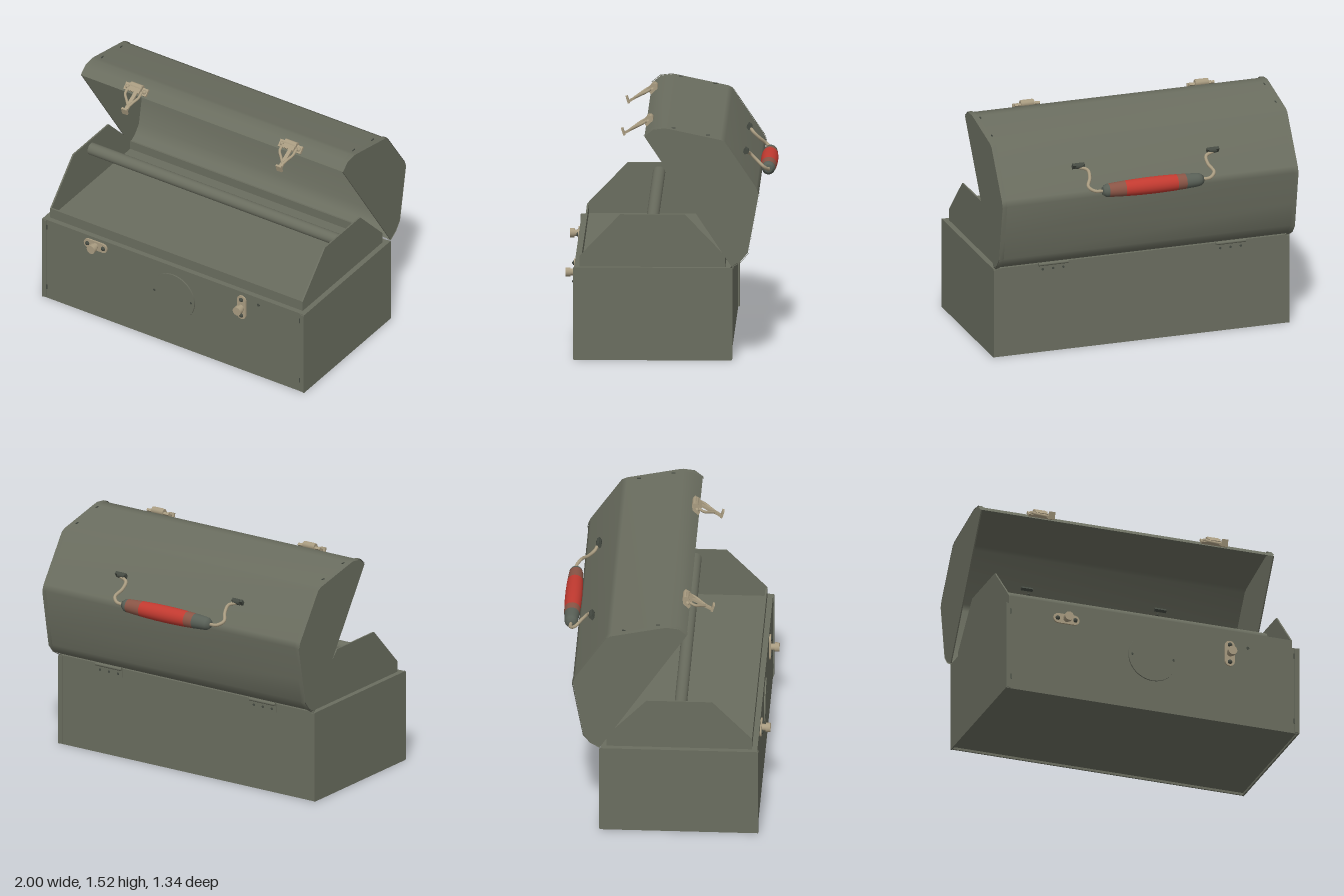
import * as THREE from 'three';

const material = (name, color, side = THREE.FrontSide) => {
  const m = new THREE.MeshStandardMaterial({ color, side });
  m.name = name;
  return m;
};

export function createModel() {
  const root = new THREE.Group();
  root.name = 'toolbox';
  const paint = material('olive grey paint', 0x6a6d5f, THREE.DoubleSide);
  const brass = material('dull brass', 0xa89b80);
  const dark = material('dark steel', 0x454a42);
  const grip = material('worn grip', 0x596057);
  const red = material('red grip paint', 0xc23a30);
  const brown = material('faded red paint', 0x8a5546);

  const add = (name, geo, mat, pos = [0, 0, 0], rot = [0, 0, 0], parent = root) => {
    const mesh = new THREE.Mesh(geo, mat);
    mesh.name = name;
    mesh.position.set(...pos);
    mesh.rotation.set(...rot);
    parent.add(mesh);
    return mesh;
  };
  const box = (name, size, pos, mat = paint, rot, parent) =>
    add(name, new THREE.BoxGeometry(...size), mat, pos, rot, parent);
  const disc = (name, r, h, pos, mat, parent) =>
    add(name, new THREE.CylinderGeometry(r, r, h, 20), mat, pos, [Math.PI / 2, 0, 0], parent);
  const tube = (name, pts, r, mat, parent) => add(name, new THREE.TubeGeometry(
    new THREE.CatmullRomCurve3(pts.map(p => new THREE.Vector3(...p))), 28, r, 8), mat, undefined, undefined, parent);

  // Upright plate from a (z, y) outline, running from x0 - t to x0
  const sidePlate = (name, outline, x0, t) => {
    const shape = new THREE.Shape(outline.map(p => new THREE.Vector2(...p)));
    const geo = new THREE.ExtrudeGeometry(shape, { depth: t, bevelEnabled: false });
    add(name, geo.rotateY(-Math.PI / 2).translate(x0, 0, 0), paint);
  };
  // Smooth sheet that sweeps a (z, y) line along x
  const sheet = (name, line, xa, xb) => {
    const pos = [], idx = [];
    line.forEach(([z, y], i) => {
      pos.push(xa, y, z, xb, y, z);
      const a = i * 2;
      if (i) idx.push(a - 2, a, a - 1, a - 1, a, a + 1);
    });
    const geo = new THREE.BufferGeometry();
    geo.setAttribute('position', new THREE.Float32BufferAttribute(pos, 3));
    geo.setIndex(idx);
    geo.computeVertexNormals();
    add(name, geo, paint);
  };

  // Lower box with wrapped ends and a bottom rim
  box('body', [1.99, 0.585, 1.0], [0, 0.3075, 0.105]);
  for (const s of [-1, 1]) {
    box('bodyEnd', [0.01, 0.6, 1.01], [s * 0.995, 0.3, 0.105]);
    box('frontEndFlange', [0.03, 0.59, 0.008], [s * 0.985, 0.3, 0.608]);
    box('backEndFlange', [0.03, 0.59, 0.006], [s * 0.985, 0.3, -0.402]);
    for (const y of [0.085, 0.545]) box('flangeSlot', [0.006, 0.035, 0.004], [s * 0.966, y, 0.607], dark);
  }
  for (const z of [0.6, -0.39]) box('bottomRim', [1.99, 0.016, 0.01], [0, 0.008, z]);

  // Tray with gabled ends and a carrying bar
  const gable = [[-0.36, 0.6], [0.57, 0.6], [0.57, 0.67], [0.31, 0.94], [-0.1, 0.94], [-0.36, 0.67]];
  sidePlate('trayEnd', gable, 0.965, 0.01);
  sidePlate('trayEnd', gable, -0.955, 0.01);
  box('trayFront', [1.92, 0.07, 0.012], [0, 0.635, 0.564]);
  box('trayBack', [1.92, 0.07, 0.012], [0, 0.635, -0.354]);
  box('trayFloor', [1.92, 0.008, 0.92], [0, 0.606, 0.105]);
  add('trayBar', new THREE.CylinderGeometry(0.04, 0.04, 1.92, 24), paint, [0, 0.875, 0.11], [0, 0, Math.PI / 2]);

  // Open lid: curved shell, end plates and end flanges
  const lid = [[-0.4, 0.61], [-0.46, 0.645], [-0.505, 0.7], [-0.535, 0.86], [-0.575, 1.08], [-0.56, 1.12],
    [-0.36, 1.415], [-0.33, 1.43], [0.0, 1.5], [0.03, 1.504], [0.1, 1.495], [0.155, 1.45]];
  sheet('lidShell', lid, -0.995, 0.995);
  sidePlate('lidEnd', lid, 1, 0.008);
  sidePlate('lidEnd', lid, -0.992, 0.008);
  const wrap = lid.map(([z, y]) => [-0.2 + (z + 0.2) * 1.014, 1.1 + (y - 1.1) * 1.014]);
  for (const s of [-1, 1]) {
    sheet('lidEndFlange', wrap, s * 0.97, s);
    for (const [y, z] of [[1.474, -0.25], [1.52, -0.03]]) box('lidSlot', [0.005, 0.006, 0.025], [s * 0.96, y - 0.02, z], dark);
    for (const y of [1.22, 1.27]) add('lidRivet', new THREE.SphereGeometry(0.008, 8, 6), dark, [s * 0.44, y, -0.475]);
  }

  // Hinges
  for (const s of [-1, 1]) {
    add('hingeBarrel', new THREE.CylinderGeometry(0.011, 0.011, 0.2, 10), paint, [s * 0.6, 0.6, -0.41], [0, 0, Math.PI / 2]);
    box('hingeLeaf', [0.2, 0.05, 0.006], [s * 0.6, 0.57, -0.403]);
    for (const dx of [-0.07, 0, 0.07]) disc('hingeRivet', 0.008, 0.004, [s * 0.6 + dx, 0.565, -0.407], dark);
  }

  // Handle: barrel grip in painted bands
  const gripRadius = x => {
    const t = Math.abs(x) / 0.34;
    return t > 0.94 ? 0.04 - (t - 0.94) * 0.25 : 0.055 - 0.015 * t * t;
  };
  const bands = [[-0.34, -0.22, grip], [-0.22, -0.16, brown], [-0.16, 0.19, red], [0.19, 0.3, brown], [0.3, 0.34, grip]];
  for (const [a, b, mat] of bands) {
    const profile = [];
    if (a === -0.34) profile.push(new THREE.Vector2(0, a));
    for (let i = 0; i <= 6; i++) {
      const x = a + (b - a) * i / 6;
      profile.push(new THREE.Vector2(gripRadius(x), x));
    }
    if (b === 0.34) profile.push(new THREE.Vector2(0, b));
    add('handleGrip', new THREE.LatheGeometry(profile, 28), mat, [0, 1.13, -0.62], [0, 0, -Math.PI / 2]);
  }
  // Handle wires and their mounts
  for (const s of [-1, 1]) {
    tube('handleWire', [[s * 0.33, 1.13, -0.62], [s * 0.39, 1.135, -0.62], [s * 0.425, 1.16, -0.59],
      [s * 0.4, 1.2, -0.545], [s * 0.4, 1.24, -0.505], [s * 0.46, 1.26, -0.485]], 0.011, brass);
    box('handleMount', [0.08, 0.045, 0.02], [s * 0.455, 1.262, -0.474], dark, [Math.PI - 0.6, 0, 0]);
    add('mountLoop', new THREE.CylinderGeometry(0.018, 0.018, 0.05, 12), dark, [s * 0.45, 1.265, -0.482], [0, 0, Math.PI / 2]);
  }

  // Lid latches: plate, pivot and forked hook
  for (const s of [-1, 1]) {
    const latch = new THREE.Group();
    latch.name = 'lidLatch';
    latch.position.x = s * 0.59;
    root.add(latch);
    const tilt = [-Math.PI / 4, 0, 0];
    box('latchPlate', [0.17, 0.05, 0.016], [0, 1.483, 0.137], brass, tilt, latch);
    box('latchHousing', [0.08, 0.055, 0.035], [0, 1.493, 0.14], brass, tilt, latch);
    add('latchPivot', new THREE.CylinderGeometry(0.022, 0.022, 0.09, 14), brass, [0, 1.5, 0.13], [0, 0, Math.PI / 2], latch);
    for (const dx of [-1, 1]) {
      add('latchRivet', new THREE.SphereGeometry(0.014, 10, 8), brass, [dx * 0.065, 1.488, 0.142], tilt, latch);
      tube('latchFork', [[dx * 0.05, 1.488, 0.15], [dx * 0.05, 1.465, 0.19], [dx * 0.025 + 0.008, 1.445, 0.225],
        [0.018, 1.425, 0.26]], 0.009, brass, latch);
    }
    box('latchArm', [0.025, 0.014, 0.15], [0.014, 1.44, 0.23], brass, [0.52, 0, 0], latch);
    box('latchHook', [0.04, 0.048, 0.014], [0.018, 1.415, 0.3], brass, [0.3, 0, 0], latch);
  }

  // Latch keepers on the front: one horizontal, one turned upright
  const keeper = (x, y, turn) => {
    const g = new THREE.Group();
    g.name = 'latchKeeper';
    g.position.set(x, y, 0.61);
    g.rotation.z = turn;
    root.add(g);
    box('keeperPlate', [0.11, 0.066, 0.012], [0, 0, 0], brass, undefined, g);
    for (const dx of [-1, 1]) {
      disc('keeperPlateEnd', 0.033, 0.012, [dx * 0.055, 0, 0], brass, g);
      add('keeperRivet', new THREE.SphereGeometry(0.016, 10, 8), dark, [dx * 0.06, 0, 0.003], undefined, g);
    }
    disc('keeperStem', 0.022, 0.04, [0, 0, 0.02], brass, g);
    disc('keeperKnob', 0.03, 0.03, [0, 0, 0.045], brass, g);
  };
  keeper(-0.59, 0.546, 0);
  keeper(0.525, 0.487, Math.PI / 2);
  disc('spareHole', 0.01, 0.004, [0.65, 0.547, 0.606], dark);

  // Round badge on the front
  disc('badge', 0.165, 0.01, [0, 0.375, 0.609], paint).geometry = new THREE.CylinderGeometry(0.165, 0.165, 0.01, 40);
  for (const s of [-1, 1]) disc('badgeRivet', 0.008, 0.004, [s * 0.14, 0.375, 0.614], dark);

  return root;
}
